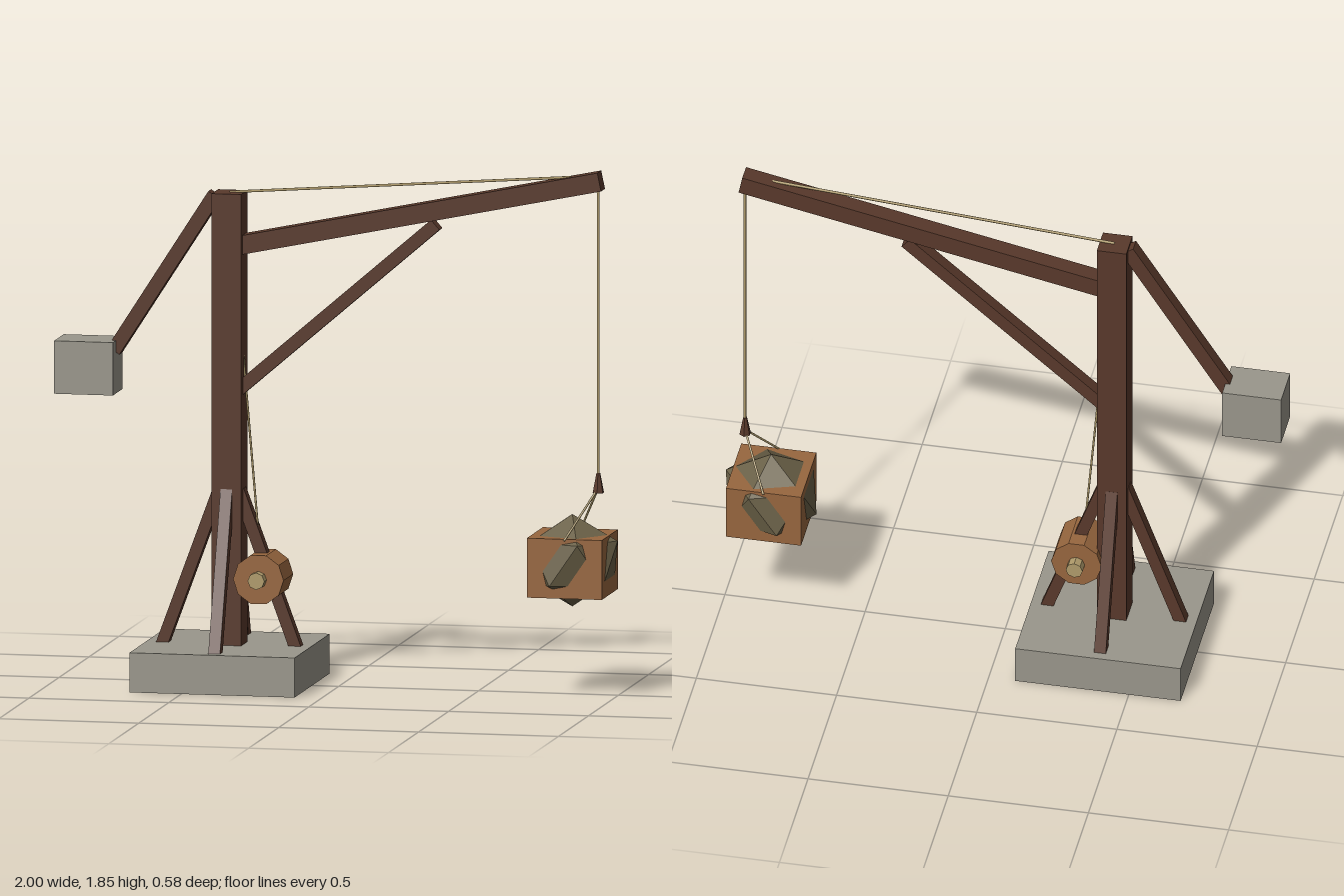
import * as THREE from 'three';

const paint = (name, color) => {
  const m = new THREE.MeshStandardMaterial({ color });
  m.name = name;
  return m;
};

export function createModel() {
  const crane = new THREE.Group();
  crane.name = 'crane';

  const darkWood = paint('dark wood', 0x59392b);
  const lightWood = paint('light wood', 0x98673f);
  const stone = paint('stone', 0x9a978c);
  const rope = paint('rope', 0xb09c6c);
  const netting = paint('netting', 0x6a6047);

  const add = (name, geometry, material, x = 0, y = 0, z = 0) => {
    const mesh = new THREE.Mesh(geometry, material);
    mesh.name = name;
    mesh.position.set(x, y, z);
    crane.add(mesh);
    return mesh;
  };
  const box = (name, material, w, h, d, x, y, z = 0) =>
    add(name, new THREE.BoxGeometry(w, h, d), material, x, y, z);

  // Stretch a geometry along the line from a to b
  const up = new THREE.Vector3(0, 1, 0);
  const span = (name, material, a, b, makeGeometry) => {
    const start = new THREE.Vector3(...a), end = new THREE.Vector3(...b);
    const direction = end.clone().sub(start);
    const mesh = add(name, makeGeometry(direction.length()), material);
    mesh.position.copy(start).add(end).multiplyScalar(0.5);
    mesh.quaternion.setFromUnitVectors(up, direction.normalize());
  };
  const beam = (name, a, b, w, d = w) =>
    span(name, darkWood, a, b, (l) => new THREE.BoxGeometry(w, l, d));
  const line = (name, a, b, r = 0.004) =>
    span(name, rope, a, b, (l) => new THREE.CylinderGeometry(r, r, l, 6));

  // Base and mast
  box('base', stone, 0.59, 0.14, 0.585, -0.39, 0.07);
  box('mast', darkWood, 0.105, 1.6, 0.108, -0.39, 0.935);

  // Four legs propping the mast
  for (const s of [-1, 1]) {
    beam('sideLeg', [-0.39 + s * 0.24, 0.13, 0], [-0.39 + s * 0.035, 0.685, 0], 0.042);
    beam('crossLeg', [-0.39, 0.13, s * 0.24], [-0.39, 0.685, s * 0.035], 0.042);
  }

  // Boom, its brace and the counterweight
  beam('boom', [-0.37, 1.547, 0], [0.938, 1.815, 0], 0.066);
  beam('brace', [-0.36, 1.035, 0], [0.35, 1.645, 0], 0.046, 0.05);
  beam('counterArm', [-0.44, 1.725, 0], [-0.8, 1.165, 0], 0.05);
  box('counterweight', stone, 0.21, 0.187, 0.16, -0.895, 1.108);

  // Winch drum on its axle
  const roller = (r, l, sides) =>
    new THREE.CylinderGeometry(r, r, l, sides, 1, false, Math.PI / 2)
      .toNonIndexed().rotateX(Math.PI / 2);
  const drum = roller(0.09, 0.162, 10);
  const axle = roller(0.03, 0.24, 8);
  for (const g of [drum, axle]) g.computeVertexNormals();
  add('winchDrum', drum, lightWood, -0.27, 0.38);
  add('winchAxle', axle, rope, -0.27, 0.38);

  // Ropes
  line('winchRope', [-0.28, 0.45, 0], [-0.39, 1.73, 0]);
  line('stayRope', [-0.39, 1.735, 0], [0.83, 1.825, 0], 0.005);
  line('hoistRope', [0.928, 1.8, 0], [0.928, 0.77, 0], 0.005);
  for (const s of [-1, 1]) line('sling', [0.928, 0.73, 0], [0.835, 0.56, s * 0.137]);

  // Hook block
  const hook = new THREE.CylinderGeometry(0.007, 0.021, 0.07, 6).toNonIndexed();
  hook.computeVertexNormals();
  add('hookBlock', hook, darkWood, 0.928, 0.748);

  // Crate, with the faceted net poking out through its sides
  box('crate', lightWood, 0.268, 0.21, 0.268, 0.835, 0.46);
  const net = new THREE.IcosahedronGeometry(1, 0)
    .rotateZ(-Math.atan(2 / (1 + Math.sqrt(5))))
    .scale(0.181, 0.163, 0.181);
  net.computeVertexNormals();
  add('cargoNet', net, netting, 0.835, 0.472);

  return crane;
}
